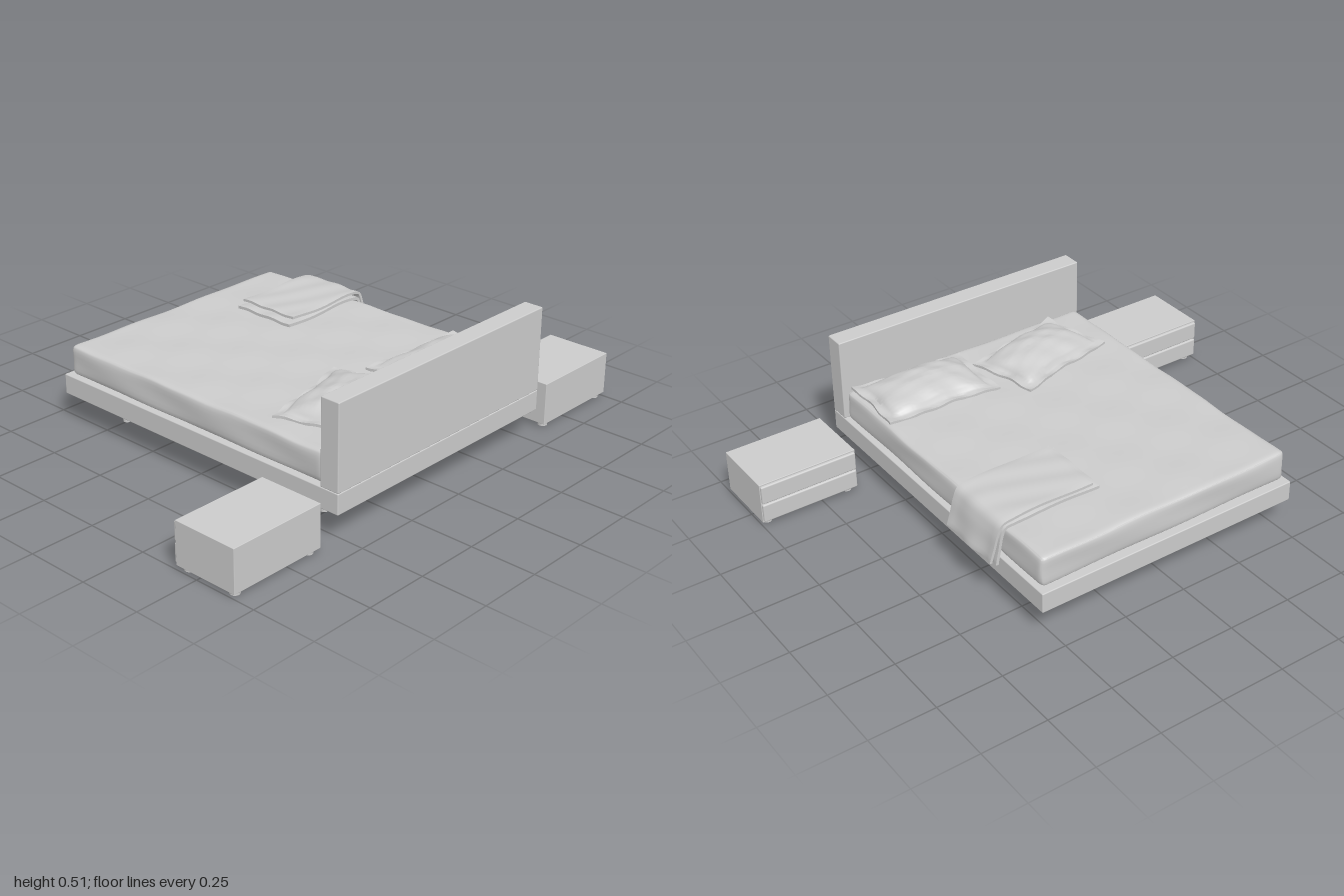
import * as THREE from 'three';
import { mergeVertices, toCreasedNormals } from 'three/addons/utils/BufferGeometryUtils.js';
import { RoundedBoxGeometry } from 'three/addons/geometries/RoundedBoxGeometry.js';

const material = new THREE.MeshStandardMaterial({ color: 0xcccccc });
const clamp = THREE.MathUtils.clamp;

function part(parent, name, geometry, x = 0, y = 0, z = 0) {
  const mesh = new THREE.Mesh(geometry, material);
  mesh.name = name;
  mesh.position.set(x, y, z);
  parent.add(mesh);
  return mesh;
}

// Slab given by its min and max corners, with slightly eased edges
function slab(parent, name, [x0, y0, z0], [x1, y1, z1], radius = 0.004) {
  const geometry = new RoundedBoxGeometry(x1 - x0, y1 - y0, z1 - z0, 2, radius);
  return part(parent, name, geometry, (x0 + x1) / 2, (y0 + y1) / 2, (z0 + z1) / 2);
}

// Closed grid box whose vertices (u, v, w in -1..1) are moved by a rule
function softBox(nx, ny, nz, rule, crease) {
  const box = new THREE.BoxGeometry(2, 2, 2, nx, ny, nz);
  box.deleteAttribute('uv');
  box.deleteAttribute('normal');
  const geometry = mergeVertices(box);
  const p = geometry.attributes.position;
  for (let i = 0; i < p.count; i++) p.setXYZ(i, ...rule(p.getX(i), p.getY(i), p.getZ(i)));
  geometry.computeVertexNormals();
  return crease ? toCreasedNormals(geometry, crease) : geometry;
}

// Mattress: rounded block with soft diagonal creases in the cover
function mattressGeometry() {
  const half = [0.627, 0.06, 0.526], r = 0.022;
  const ease = t => Math.sin(t * Math.PI / 2);
  return softBox(48, 10, 44, (u, v, w) => {
    const p = [u, v, w].map((t, i) => ease(t) * half[i]);
    const core = new THREE.Vector3(...p.map((t, i) => clamp(t, r - half[i], half[i] - r)));
    const offset = new THREE.Vector3(...p).sub(core);
    if (offset.lengthSq() > 0) offset.setLength(r);
    core.add(offset);
    const ripple = 0.0015 * Math.sin(14 * core.x + 19 * core.z) + 0.001 * Math.sin(31 * core.x - 9 * core.z);
    core.y += ripple * (core.y + half[1]) / (2 * half[1]) - (v > 0.9 ? 0.002 : 0);
    if (Math.abs(w) > 0.9) core.z += 0.002 * Math.sin(12 * core.x + 40 * core.y);
    if (u < -0.9) core.x += 0.002 * Math.sin(11 * core.z + 40 * core.y);
    return [core.x, core.y, core.z];
  });
}

// Pillow: stuffed middle inside a thin wavy flange
function pillowGeometry(halfX, halfZ, height, seed) {
  return softBox(44, 1, 56, (u, v, w) => {
    const U = clamp(u / 0.82, -1, 1), V = clamp(w / 0.87, -1, 1);
    const fill = Math.pow((1 - U * U) * (1 - V * V), 0.45);
    const lean = 1 + 0.12 * U;
    const creases = 0.05 * Math.sin(9 * U + 4 * V + seed) * Math.sin(6 * V - 3 * U);
    const wave = 0.003 * Math.sin(11 * w + 7 * u + seed) * Math.max(Math.abs(u), Math.abs(w));
    const y = v > 0 ? 0.008 + wave + height * fill * (lean + creases * fill) : -0.002 + wave;
    // edges draw in slightly between the corners
    const x = u * halfX * (1 - 0.05 * (1 - w * w)) + 0.004 * Math.sin(5 * w + seed);
    const z = w * halfZ * (1 - 0.04 * (1 - u * u)) + 0.003 * Math.sin(6 * u + seed);
    return [x, y, z];
  }, 1.0);
}

// Throw layer: a cloth strip following a (z, y) path from its hanging hem to its front edge
function throwGeometry(points, x0, x1, thickness, seed) {
  const path = new THREE.CatmullRomCurve3(points.map(([z, y]) => new THREE.Vector3(0, y, z)), false, 'centripetal');
  return softBox(20, 2, 50, (u, v, w) => {
    const t = (w + 1) / 2;
    const c = path.getPointAt(t), d = path.getTangentAt(t);
    const hang = clamp((0.4 - t) / 0.4, 0, 1);
    const fold = 0.002 * Math.sin(7 * u + 5 * w + seed) + 0.006 * hang * Math.sin(5 * u + seed);
    const edge = (Math.abs(u) > 0.95 || Math.abs(w) > 0.97) ? 0.7 : 1;
    const n = v * thickness / 2 * edge + fold;
    const x = THREE.MathUtils.lerp(x0, x1, (u + 1) / 2) + 0.006 * t + 0.003 * Math.sin(9 * t + seed);
    return [x, c.y + d.z * n, c.z - d.y * n + 0.003 * t * u];
  }, 0.9);
}

function createNightstand(name, z) {
  const stand = new THREE.Group();
  stand.name = name;
  stand.position.z = z;
  slab(stand, 'cabinet', [0.408, 0.016, -0.195], [0.668, 0.18, 0.195], 0.002);
  // two drawer fronts facing the foot of the bed
  for (const [i, y] of [0.022, 0.1].entries())
    slab(stand, i ? 'upperDrawer' : 'lowerDrawer', [0.398, y, -0.192], [0.414, y + 0.074, 0.192], 0.006);
  for (const x of [0.438, 0.64])
    for (const side of [-1, 1])
      part(stand, 'foot', new THREE.CylinderGeometry(0.018, 0.018, 0.02, 20), x, 0.01, side * 0.165);
  return stand;
}

export function createModel() {
  const model = new THREE.Group();
  model.name = 'bedroomSet';

  const bed = new THREE.Group();
  bed.name = 'bed';
  model.add(bed);
  slab(bed, 'platform', [-0.678, 0.107, -0.54], [0.678, 0.186, 0.54]);
  slab(bed, 'headboard', [0.6, 0.186, -0.54], [0.678, 0.51, 0.54]);
  for (const x of [-0.505, 0.49])
    for (const side of [-1, 1])
      part(bed, 'bedLeg', new THREE.CylinderGeometry(0.015, 0.015, 0.11, 20), x, 0.055, side * 0.397);
  part(bed, 'mattress', mattressGeometry(), -0.027, 0.246, 0);

  // Pillows, the second turned at an angle
  part(bed, 'rightPillow', pillowGeometry(0.147, 0.232, 0.056, 0.5), 0.435, 0.307, -0.28).rotation.y = -0.04;
  part(bed, 'leftPillow', pillowGeometry(0.145, 0.225, 0.056, 2.4), 0.39, 0.307, 0.205).rotation.y = 0.25;

  // Folded throw draped over the side of the mattress
  const lower = [[-0.556, 0.17], [-0.547, 0.22], [-0.539, 0.28], [-0.527, 0.309], [-0.49, 0.316], [-0.3, 0.315], [-0.136, 0.315]];
  const upper = [[-0.582, 0.185], [-0.57, 0.23], [-0.556, 0.29], [-0.538, 0.326], [-0.49, 0.335], [-0.3, 0.334], [-0.162, 0.336]];
  part(bed, 'throwLowerLayer', throwGeometry(lower, -0.452, -0.178, 0.016, 1));
  part(bed, 'throwUpperLayer', throwGeometry(upper, -0.449, -0.182, 0.014, 1.6));

  model.add(createNightstand('leftNightstand', 0.805), createNightstand('rightNightstand', -0.805));
  return model;
}
